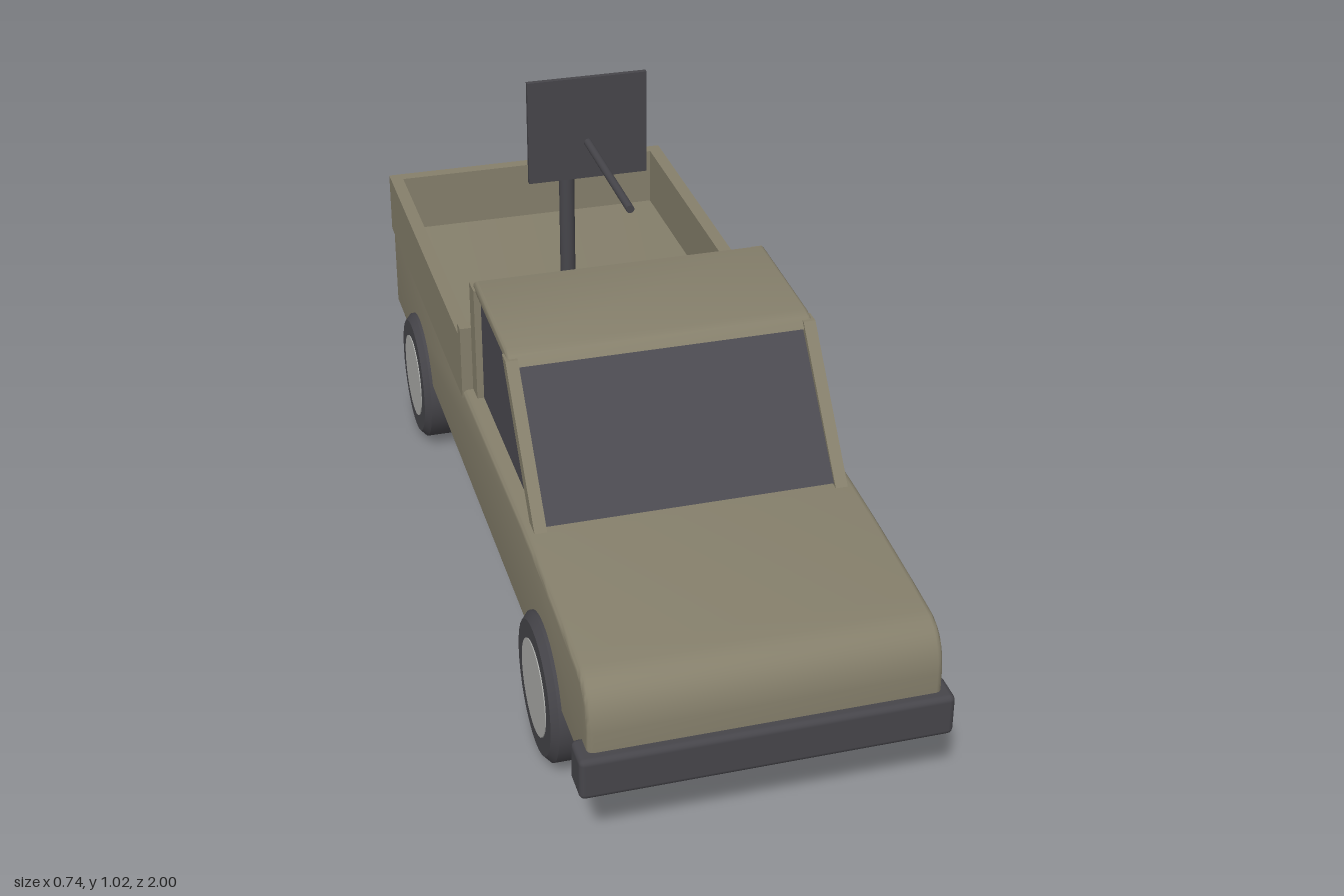
import * as THREE from 'three';
import { toCreasedNormals } from 'three/addons/utils/BufferGeometryUtils.js';
import { RoundedBoxGeometry } from 'three/addons/geometries/RoundedBoxGeometry.js';

const mat = (name, color) => {
  const m = new THREE.MeshStandardMaterial({ color });
  m.name = name;
  return m;
};

export function createModel() {
  const tan = mat('sand paint', 0x857f6b);
  const dark = mat('dark gunmetal', 0x46454a);
  const glass = mat('tinted glass', 0x4b4a50);
  const silver = mat('wheel silver', 0xabaca9);
  const model = new THREE.Group();
  model.name = 'pickupTruck';

  const add = (name, geometry, material, x = 0, y = 0, z = 0, parent = model) => {
    const mesh = new THREE.Mesh(geometry, material);
    mesh.name = name;
    mesh.position.set(x, y, z);
    parent.add(mesh);
    return mesh;
  };
  // Box given by its extents
  const box = (name, material, x0, x1, y0, y1, z0, z1, r = 0) => add(name,
    r ? new RoundedBoxGeometry(x1 - x0, y1 - y0, z1 - z0, 2, r)
      : new THREE.BoxGeometry(x1 - x0, y1 - y0, z1 - z0),
    material, (x0 + x1) / 2, (y0 + y1) / 2, (z0 + z1) / 2);
  // Side profile in (z, y), extruded to a total width along x
  const profile = (shape, width, bevel = 0) => {
    const depth = width - 2 * bevel;
    const g = new THREE.ExtrudeGeometry(shape, {
      depth, curveSegments: 10, bevelEnabled: bevel > 0, bevelThickness: bevel,
      bevelSize: bevel, bevelOffset: -bevel, bevelSegments: 3,
    });
    g.translate(0, 0, -depth / 2).rotateY(-Math.PI / 2);
    return toCreasedNormals(g, 0.6);
  };
  const poly = (...pts) => new THREE.Shape(pts.map(([z, y]) => new THREE.Vector2(z, y)));

  // Lower body with a rounded nose
  const body = new THREE.Shape();
  body.moveTo(-0.99, 0.19);
  body.lineTo(0.95, 0.19);
  body.quadraticCurveTo(0.975, 0.19, 0.978, 0.23);
  body.lineTo(0.978, 0.3);
  body.bezierCurveTo(0.975, 0.35, 0.955, 0.39, 0.9, 0.396);
  body.quadraticCurveTo(0.68, 0.415, 0.45, 0.42);
  body.lineTo(-0.12, 0.411);
  body.lineTo(-0.99, 0.4);
  add('body', profile(body, 0.698, 0.012), tan);
  box('frontBumper', dark, -0.37, 0.37, 0.165, 0.256, 0.925, 1, 0.012);

  // Cab: glasshouse, roof and pillars
  add('cabGlass', profile(poly([0.475, 0.424], [0.24, 0.685], [-0.095, 0.685], [-0.095, 0.424]), 0.63), glass);
  add('roof', profile(poly([0.262, 0.672], [0.243, 0.692], [0.22, 0.697], [-0.07, 0.703],
    [-0.088, 0.692], [-0.088, 0.676]), 0.65, 0.008), tan);
  const pillar = profile(poly([0.488, 0.418], [0.256, 0.686], [0.222, 0.686], [0.445, 0.418]), 0.026);
  for (const s of [1, -1]) {
    const side = s > 0 ? 'left' : 'right';
    add(side + 'FrontPillar', pillar, tan, s * 0.317);
    const x = s * 0.317;
    box(side + 'RearPillar', tan, x - 0.013, x + 0.013, 0.424, 0.688, -0.1, -0.055);
  }

  // Cargo bed walls around the flat floor
  for (const s of [1, -1]) {
    const x = s * 0.336;
    box(s > 0 ? 'leftBedWall' : 'rightBedWall', tan, x - 0.015, x + 0.015, 0.393, 0.54, -0.97, -0.14);
  }
  box('tailgate', tan, -0.351, 0.351, 0.393, 0.54, -1, -0.97);
  box('bedHeadboard', tan, -0.351, 0.351, 0.393, 0.565, -0.148, -0.12);

  // Wheels: tyre turned from a chamfered section, with a plain disc
  const tyre = new THREE.LatheGeometry([[0, -0.05], [0.138, -0.05], [0.153, -0.036],
    [0.153, 0.036], [0.138, 0.05], [0, 0.05]].map(([r, h]) => new THREE.Vector2(r, h)), 32);
  const tyreGeo = toCreasedNormals(tyre.rotateZ(-Math.PI / 2), 0.5);
  const hubGeo = new THREE.CylinderGeometry(0.1, 0.1, 0.006, 32).rotateZ(-Math.PI / 2);
  for (const [end, z] of [['front', 0.63], ['rear', -0.66]]) {
    for (const s of [1, -1]) {
      const wheel = new THREE.Group();
      wheel.name = end + (s > 0 ? 'Left' : 'Right') + 'Wheel';
      wheel.position.set(s * 0.32, 0.154, z);
      add('tyre', tyreGeo, dark, 0, 0, 0, wheel);
      add('hub', hubGeo, silver, s * 0.049, 0, 0, wheel);
      model.add(wheel);
    }
  }

  // Bed mount with post, receiver, shield and barrel
  add('gunPost', new THREE.CylinderGeometry(0.018, 0.018, 0.44, 20), dark, 0, 0.615, -0.56);
  box('gunReceiver', dark, -0.034, 0.034, 0.824, 0.897, -0.657, -0.368, 0.006);
  box('gunShield', dark, -0.136, 0.136, 0.781, 1.022, -0.365, -0.353);
  add('gunBarrel', new THREE.CylinderGeometry(0.009, 0.009, 0.38, 14).rotateX(Math.PI / 2),
    dark, 0, 0.867, -0.186);

  return model;
}
